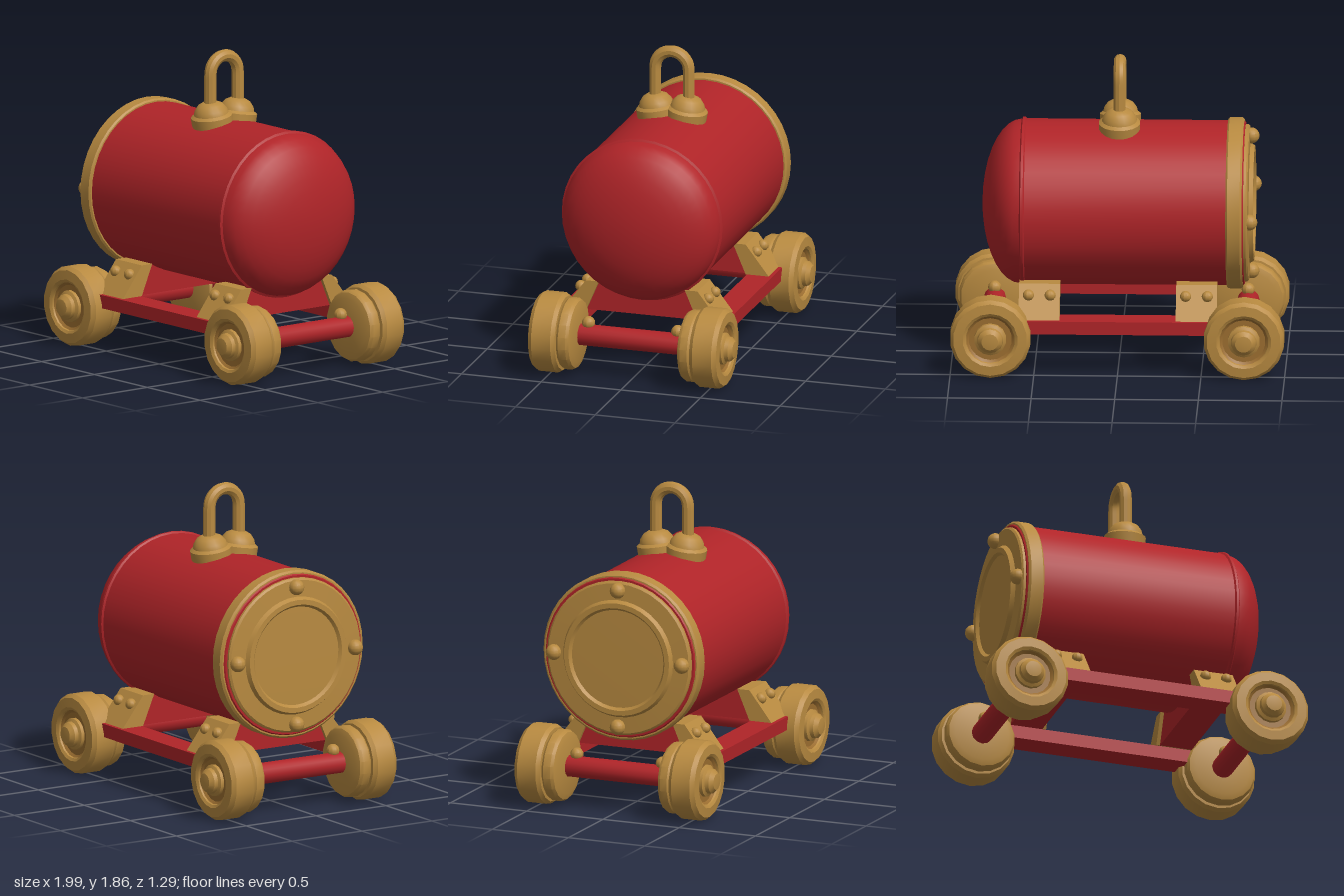
import * as THREE from 'three';
import { toCreasedNormals } from 'three/addons/utils/BufferGeometryUtils.js';

const mat = (name, color) => {
  const m = new THREE.MeshStandardMaterial({ color });
  m.name = name;
  return m;
};

export function createModel() {
  const red = mat('red paint', 0xb02428);
  const brass = mat('brass', 0xb88a40);
  const darkBrass = mat('dark brass', 0x9c6e30);
  const root = new THREE.Group();
  root.name = 'wheeledTank';

  const add = (parent, name, geo, material, x = 0, y = 0, z = 0) => {
    const mesh = new THREE.Mesh(toCreasedNormals(geo, 0.6), material);
    mesh.name = name;
    mesh.position.set(x, y, z);
    parent.add(mesh);
    return mesh;
  };
  // Profiles are [radius, height] pairs from bottom to top
  const lathe = (profile, segments) =>
    new THREE.LatheGeometry(profile.map(([r, h]) => new THREE.Vector2(r, h)), segments);
  const alongX = (profile, segments) => lathe(profile, segments).rotateZ(-Math.PI / 2);
  const alongZ = (profile, segments) => lathe(profile, segments).rotateX(Math.PI / 2);
  // Extrudes a [z, y] outline across x, centred on x = 0
  const extrudeX = (outline, width) => {
    const shape = new THREE.Shape(outline.map(([z, y]) => new THREE.Vector2(z, y)));
    return new THREE.ExtrudeGeometry(shape, { depth: width, bevelEnabled: false })
      .translate(0, 0, -width / 2).rotateY(-Math.PI / 2);
  };

  // Tank with a rounded end at +x
  const axisY = 0.945;
  const tankProfile = [[0, -0.75], [0.485, -0.75], [0.493, -0.74], [0.495, 0.56],
    [0.505, 0.568], [0.505, 0.582], [0.492, 0.59]];
  for (let i = 1; i <= 9; i++) {
    const a = (i / 9) * Math.PI / 2;
    tankProfile.push([i === 9 ? 0 : 0.492 * Math.cos(a), 0.59 + 0.232 * Math.sin(a)]);
  }
  add(root, 'tank', alongX(tankProfile, 40), red, 0, axisY);

  // Brass band and end cover at -x
  add(root, 'endBand', alongX([[0.48, -0.742], [0.5, -0.742], [0.512, -0.73],
    [0.512, -0.655], [0.502, -0.645], [0.48, -0.645]], 40), brass, 0, axisY);
  add(root, 'endCover', alongX([[0, -0.79], [0.3, -0.787], [0.315, -0.805], [0.345, -0.805],
    [0.36, -0.78], [0.46, -0.775], [0.472, -0.765], [0.472, -0.745]], 40), brass, 0, axisY);
  for (let i = 0; i < 4; i++) {
    const a = i * Math.PI / 2;
    add(root, 'coverBolt', new THREE.SphereGeometry(0.048, 12, 8), brass,
      -0.787, axisY + 0.42 * Math.cos(a), 0.42 * Math.sin(a));
  }

  // Lifting shackle on two bosses
  const boss = lathe([[0, -0.06], [0.122, -0.06], [0.125, 0.03], [0.105, 0.045],
    [0.098, 0.07], [0.075, 0.1], [0.045, 0.115], [0, 0.115]], 18);
  for (const s of [-1, 1]) {
    add(root, 'shackleBoss', boss, brass, 0, 1.437, s * 0.092).rotation.x = s * 0.15;
  }
  const path = new THREE.CurvePath();
  const arc = [];
  for (let i = 0; i <= 10; i++) {
    const a = (i / 10) * Math.PI;
    arc.push(new THREE.Vector3(0, 1.718 + 0.105 * Math.sin(a), 0.105 * Math.cos(a)));
  }
  path.add(new THREE.LineCurve3(new THREE.Vector3(0, 1.5, 0.105), arc[0]));
  path.add(new THREE.CatmullRomCurve3(arc));
  path.add(new THREE.LineCurve3(arc[10], new THREE.Vector3(0, 1.5, -0.105)));
  add(root, 'shackle', new THREE.TubeGeometry(path, 40, 0.037, 10), brass);

  // Axles and the cradles under the tank
  const axleY = 0.247;
  const cradle = extrudeX([[-0.45, 0.345], [0.45, 0.345], [0.3, 0.525], [-0.3, 0.525]], 0.2);
  for (const s of [-1, 1]) {
    add(root, 'axle', new THREE.CylinderGeometry(0.066, 0.066, 0.72, 12).rotateX(Math.PI / 2),
      red, s * 0.758, axleY);
    add(root, 'cradle', cradle, red, s * 0.47);
  }

  // Wheel parts, with the outer face towards +z
  const tyre = alongZ([[0, 0.33], [0.17, 0.33], [0.205, 0.342], [0.217, 0.36], [0.217, 0.405],
    [0.205, 0.42], [0.225, 0.422], [0.242, 0.445], [0.242, 0.565], [0.222, 0.59],
    [0.165, 0.595], [0.148, 0.585], [0.14, 0.56]], 18);
  const dish = alongZ([[0.145, 0.575], [0.13, 0.563], [0, 0.56]], 18);
  dish.scale(1, 1, 1);
  const hub = alongZ([[0.098, 0.555], [0.096, 0.582], [0.078, 0.592], [0.074, 0.615],
    [0.05, 0.638], [0, 0.645]], 14);
  const bracket = extrudeX([[0.27, 0.532], [0.35, 0.532], [0.495, 0.345], [0.35, 0.345]], 0.245);

  // Each side holds a rail, two wheels and two bolted brackets
  for (const turn of [0, Math.PI]) {
    const side = new THREE.Group();
    side.name = turn ? 'backSide' : 'frontSide';
    side.rotation.y = turn;
    root.add(side);
    add(side, 'rail', new THREE.BoxGeometry(1.24, 0.08, 0.16), red, 0, 0.305, 0.438);
    for (const s of [-1, 1]) {
      const wheel = new THREE.Group();
      wheel.name = 'wheel';
      wheel.position.set(s * 0.758, axleY, 0);
      side.add(wheel);
      add(wheel, 'tyre', tyre, brass);
      add(wheel, 'wheelDish', dish, darkBrass);
      add(wheel, 'hub', hub, brass);
      add(side, 'axleBolt', new THREE.SphereGeometry(0.04, 10, 8), brass, s * 0.758, 0.325, 0.28);
      add(side, 'bracket', bracket, brass, s * 0.47);
      for (const b of [-1, 1]) {
        add(side, 'bracketBolt', new THREE.SphereGeometry(0.034, 10, 8), brass,
          s * 0.47 + b * 0.065, 0.475, 0.4);
      }
    }
  }
  return root;
}
